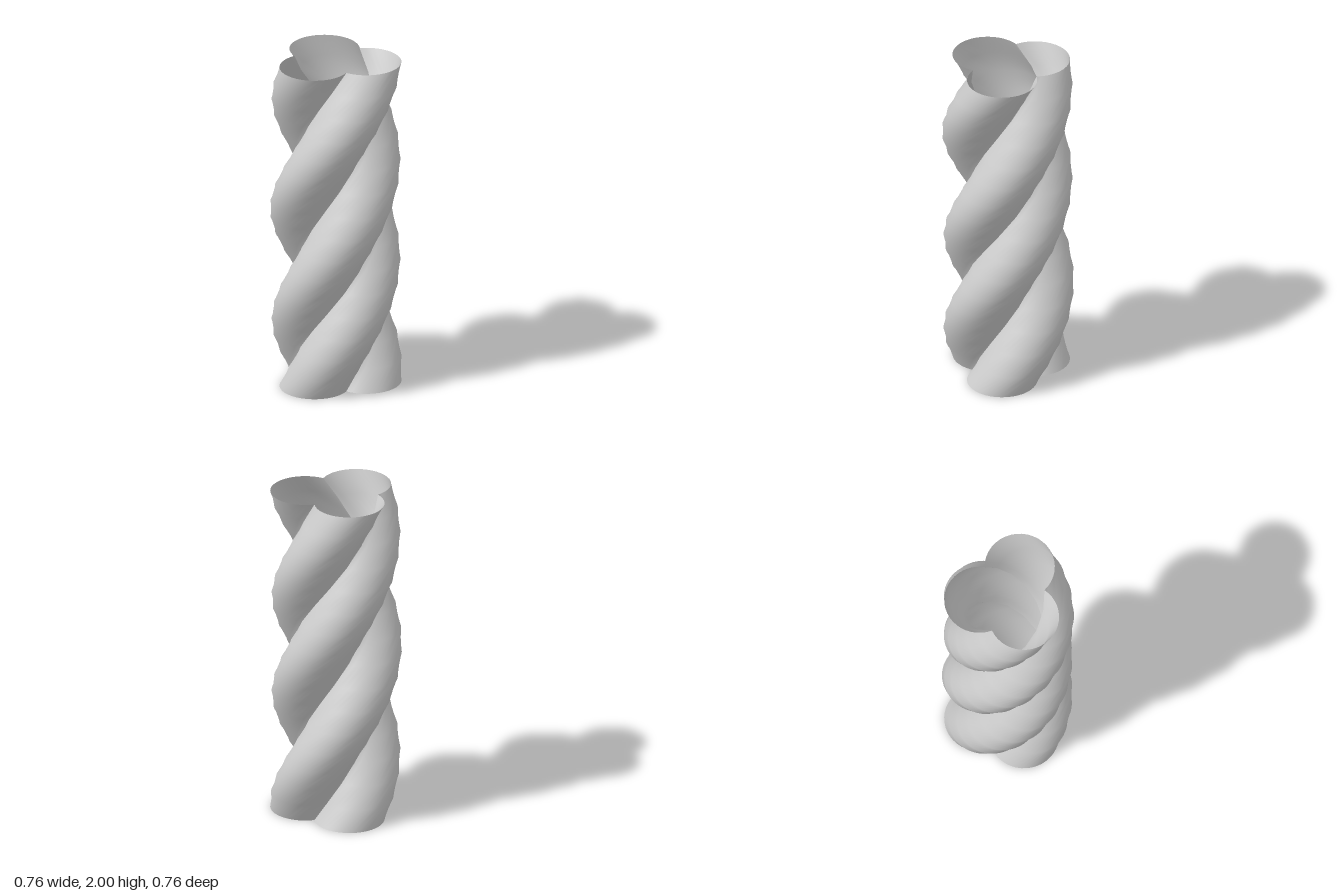
import * as THREE from 'three';

const HEIGHT = 2, STEPS = 16, ARC_STEPS = 24;
const LOBE_RADIUS = 0.203;

// Inner cusps of the three-lobed section, as (x, z) pairs
const cusps = [
  new THREE.Vector2(0.1, -0.187),
  new THREE.Vector2(0.1, 0.187),
  new THREE.Vector2(-0.245, 0),
];

// One lobe: a circular arc between two cusps, twisted a full turn over the height
function twistedLobe(a, b) {
  const chord = b.clone().sub(a);
  const half = chord.length() / 2;
  const outward = new THREE.Vector2(chord.y, -chord.x).normalize();
  const centre = a.clone().add(b).multiplyScalar(0.5)
    .addScaledVector(outward, Math.sqrt(LOBE_RADIUS ** 2 - half ** 2));
  const start = Math.atan2(a.y - centre.y, a.x - centre.x);
  let end = Math.atan2(b.y - centre.y, b.x - centre.x);
  if (end < start) end += Math.PI * 2;

  const geometry = new THREE.PlaneGeometry(1, 1, ARC_STEPS, STEPS);
  const position = geometry.attributes.position;
  const uv = geometry.attributes.uv;
  const axis = new THREE.Vector3(0, 1, 0);
  const p = new THREE.Vector3();
  for (let i = 0; i < position.count; i++) {
    const t = THREE.MathUtils.lerp(end, start, uv.getX(i));
    const v = uv.getY(i);
    p.set(centre.x + LOBE_RADIUS * Math.cos(t), v * HEIGHT, centre.y + LOBE_RADIUS * Math.sin(t));
    p.applyAxisAngle(axis, v * Math.PI * 2);
    position.setXYZ(i, p.x, p.y, p.z);
  }
  geometry.computeVertexNormals();
  return geometry;
}

export function createModel() {
  const group = new THREE.Group();
  group.name = 'twistedColumn';
  // Open-ended thin shell
  const material = new THREE.MeshStandardMaterial({ color: 0xcccccc, side: THREE.DoubleSide });
  cusps.forEach((cusp, i) => {
    const lobe = new THREE.Mesh(twistedLobe(cusp, cusps[(i + 1) % 3]), material);
    lobe.name = `twistedStrand${i + 1}`;
    group.add(lobe);
  });
  return group;
}
